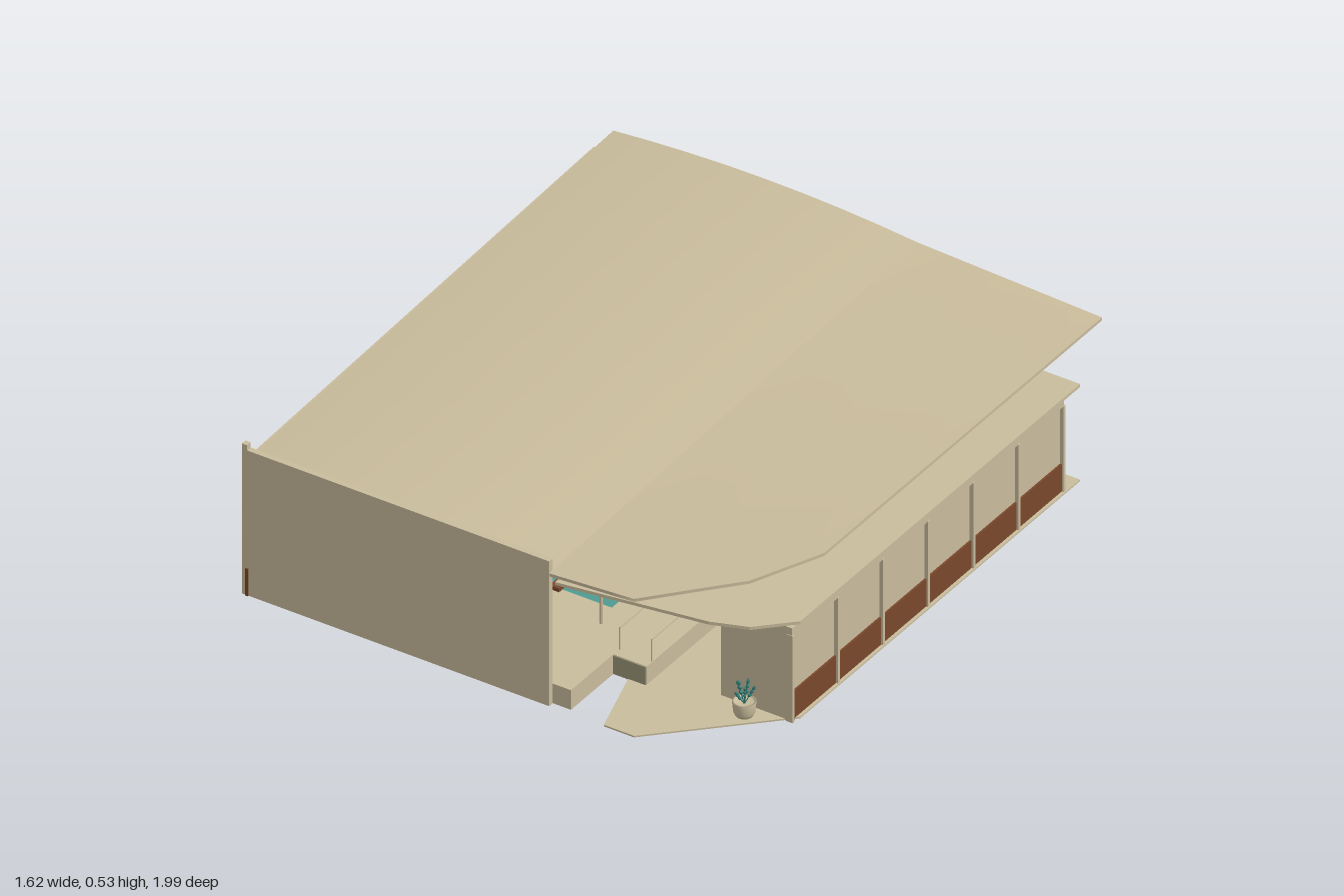
import * as THREE from 'three';

const mat = (name, color) => new THREE.MeshStandardMaterial({ name, color });

export function createModel() {
  const model = new THREE.Group();
  model.name = 'poolPavilion';
  const sand = mat('sand plaster', 0xc9bc9c);
  const brown = mat('brown wood', 0x7a472c);
  const water = mat('pool water', 0x4f9a92);
  const leaf = mat('plant leaf', 0x2f7f78);
  const shade = mat('grey stone', 0x9c9678);

  const add = (name, geo, material, x = 0, y = 0, z = 0, parent = model) => {
    const m = new THREE.Mesh(geo, material);
    m.name = name;
    m.position.set(x, y, z);
    parent.add(m);
    return m;
  };
  // box from its minimum and maximum corners
  const box = (name, material, x0, x1, y0, y1, z0, z1) =>
    add(name, new THREE.BoxGeometry(x1 - x0, y1 - y0, z1 - z0), material,
      (x0 + x1) / 2, (y0 + y1) / 2, (z0 + z1) / 2);
  // horizontal plate from [x, z] corners
  const slab = (name, material, corners, y, thick) => {
    const shape = new THREE.Shape(corners.map(([x, z]) => new THREE.Vector2(x, -z)));
    const geo = new THREE.ExtrudeGeometry(shape, { depth: thick, bevelEnabled: false });
    geo.rotateX(-Math.PI / 2);
    return add(name, geo, material, 0, y, 0);
  };
  const rod = (name, material, r, x, y0, y1, z) =>
    add(name, new THREE.CylinderGeometry(r, r, y1 - y0, 10), material, x, (y0 + y1) / 2, z);

  // Roof: arched across x, sloping down to the front, with a cut front corner
  const stations = [-0.8, -0.68, -0.55, -0.42, -0.3, -0.17, -0.05, 0.08, 0.199, 0.201, 0.3, 0.4, 0.48, 0.6, 0.71, 0.76, 0.81];
  const lerp = THREE.MathUtils.lerp;
  const frontEdge = (x) => x < 0.2 ? 0.972 : x <= 0.48 ? 0.99
    : x <= 0.71 ? lerp(0.99, 0.76, (x - 0.48) / 0.23) : lerp(0.76, 0.54, (x - 0.71) / 0.1);
  const crown = (x) => x < 0.2 ? 0.53 - 0.1 * (x + 0.3) ** 2 : lerp(0.505, 0.481, (x - 0.2) / 0.61);
  const slope = (x) => x < 0.2 ? 0.035 : lerp(0.035, 0, (x - 0.2) / 0.61);
  const roofTop = (x, z) => crown(x) - slope(x) * (z + 0.85);
  const n = stations.length - 1;
  const roofGeo = new THREE.BoxGeometry(1, 1, 1, n, 1, 4);
  const p = roofGeo.attributes.position;
  for (let i = 0; i < p.count; i++) {
    const x = stations[Math.round((p.getX(i) + 0.5) * n)];
    const z = lerp(-0.85, frontEdge(x), p.getZ(i) + 0.5);
    p.setXYZ(i, x, roofTop(x, z) - (p.getY(i) < 0 ? 0.01 : 0), z);
  }
  roofGeo.computeVertexNormals();
  add('roof', roofGeo, sand);

  // Solid walls
  box('frontWall', sand, -0.805, 0.2, 0, 0.48, 0.972, 0.99);
  const side = new THREE.Shape();
  side.moveTo(-0.99, 0);
  side.lineTo(0.77, 0);
  side.lineTo(0.77, 0.492);
  side.lineTo(-0.99, 0.435);
  const sideGeo = new THREE.ExtrudeGeometry(side, { depth: 0.014, bevelEnabled: false });
  sideGeo.rotateY(Math.PI / 2);
  add('sideWall', sideGeo, sand, -0.812, 0, 0);
  box('frontCornerCap', sand, -0.812, -0.795, 0.435, 0.497, 0.972, 0.99);
  box('wallWainscot', brown, -0.8, -0.79, 0, 0.09, -0.765, 0.994);
  box('rearRoofBeam', sand, -0.6, 0.2, 0.465, 0.48, -0.745, -0.735);

  // Arch mouldings on the inside of the side wall
  for (let i = 0; i < 4; i++) {
    const z = 0.785 - i * 0.44;
    const arch = new THREE.Group();
    arch.name = 'wallArch';
    arch.position.set(-0.796, 0.23, z);
    arch.rotation.y = Math.PI / 2;
    model.add(arch);
    add('archCurve', new THREE.TorusGeometry(0.145, 0.007, 6, 32, Math.PI), sand, 0, 0, 0, arch);
    for (const s of [-1, 1])
      add('archLeg', new THREE.BoxGeometry(0.014, 0.14, 0.014), sand, s * 0.145, -0.07, 0, arch);
  }

  // Pool, decks and floor
  box('poolWater', water, -0.79, 0.13, 0.048, 0.053, -0.755, 0.57);
  box('poolRearEdge', water, -0.79, 0.13, 0.012, 0.05, -0.76, -0.754);
  box('poolRearSill', sand, -0.79, 0.13, 0.05, 0.058, -0.768, -0.75);
  box('frontDeck', sand, -0.79, 0.26, 0, 0.065, 0.57, 0.972);
  box('poolKerb', sand, 0.13, 0.31, 0, 0.065, -0.76, 0.57);
  box('rearStep', sand, 0.2, 0.31, 0, 0.065, -1, -0.76);
  box('sideLedge', sand, 0.26, 0.37, 0, 0.065, -0.05, 0.76);
  box('ledgeFront', shade, 0.262, 0.368, 0.003, 0.064, 0.76, 0.764);
  slab('floor', sand, [[0.31, -0.74], [0.81, -0.74], [0.81, 0.66], [0.48, 0.99], [0.38, 0.99], [0.31, 0.76]], 0, 0.005);
  for (const x of [0.262, 0.367]) {
    rod('railPost', sand, 0.002, x, 0.06, 0.14, 0.73);
    rod('railPost', sand, 0.002, x, 0.06, 0.14, -0.02);
    box('handRail', sand, x - 0.002, x + 0.002, 0.136, 0.14, -0.02, 0.73);
  }

  // Lower canopy with wooden edge and columns
  slab('canopy', sand, [[0.14, -0.74], [0.81, -0.74], [0.81, 0.66], [0.71, 0.76], [0.6, 0.8], [0.14, 0.87]], 0.312, 0.01);
  box('canopyWoodEdge', brown, 0.128, 0.16, 0.301, 0.313, -0.72, 0.88);
  for (const z of [-0.55, 0.05, 0.65]) rod('edgeColumn', sand, 0.005, 0.148, 0.06, 0.305, z);
  rod('rearColumn', sand, 0.007, 0.325, 0, 0.312, -0.73);
  rod('columnLamp', sand, 0.012, 0.325, 0.21, 0.243, -0.73);

  // Panelled side wall with wooden base and posts
  box('windowPanel', sand, 0.788, 0.794, 0.09, 0.29, -0.67, 0.69);
  box('windowBase', brown, 0.785, 0.8, 0, 0.095, -0.67, 0.69);
  box('windowHead', sand, 0.783, 0.803, 0.285, 0.312, -0.67, 0.69);
  for (let i = 0; i < 7; i++) {
    const z = 0.687 - i * 0.226;
    box('windowPost', sand, 0.784, 0.806, 0, 0.288, z - 0.005, z + 0.005);
  }
  box('roomFrontWall', sand, 0.568, 0.785, 0, 0.312, 0.675, 0.69);
  box('wallBracket', sand, 0.558, 0.572, 0.285, 0.312, 0.67, 0.692);

  // Pendant lamps above the pool
  for (const z of [0.646, 0.08, -0.495]) {
    rod('lampCord', sand, 0.0015, -0.33, 0.34, roofTop(-0.33, z) - 0.008, z);
    add('lampShade', new THREE.CylinderGeometry(0.01, 0.02, 0.018, 16), sand, -0.33, 0.335, z);
  }

  // Sofa and small round tables
  box('sofaBase', brown, 0.52, 0.57, -0.0, 0.03, 0.2, 0.55);
  box('sofaSeat', sand, 0.508, 0.57, 0.03, 0.055, 0.19, 0.56);
  for (const z of [0.28, 0.48]) {
    rod('tableTop', sand, 0.022, 0.478, 0.05, 0.055, z);
    rod('tableLeg', sand, 0.004, 0.478, 0.005, 0.05, z);
    rod('tableFoot', sand, 0.014, 0.478, 0.004, 0.009, z);
  }

  // Potted plant
  const pot = [[0, 0], [0.024, 0], [0.031, 0.015], [0.034, 0.048], [0.029, 0.048], [0.028, 0.04], [0, 0.04]]
    .map(([r, y]) => new THREE.Vector2(r, y));
  add('plantPot', new THREE.LatheGeometry(pot, 20), sand, 0.675, 0.003, 0.735);
  for (let i = 0; i < 7; i++) {
    const a = i * 2.4, r = 0.012 + 0.003 * i, h = 0.118 - 0.005 * i;
    const tip = new THREE.Vector3(Math.cos(a) * r, h, Math.sin(a) * r);
    const stem = new THREE.LineCurve3(new THREE.Vector3(0, 0.04, 0), tip);
    add('plantStem', new THREE.TubeGeometry(stem, 1, 0.0015, 5), leaf, 0.675, 0, 0.735);
    for (const t of [0.55, 0.78, 1]) {
      const q = stem.getPoint(t);
      const l = add('plantLeaf', new THREE.SphereGeometry(0.008, 6, 4), leaf, 0.675 + q.x, q.y, 0.735 + q.z);
      l.scale.set(1, 0.6, 0.6);
      l.rotation.set(0, -a, t);
    }
  }
  return model;
}
